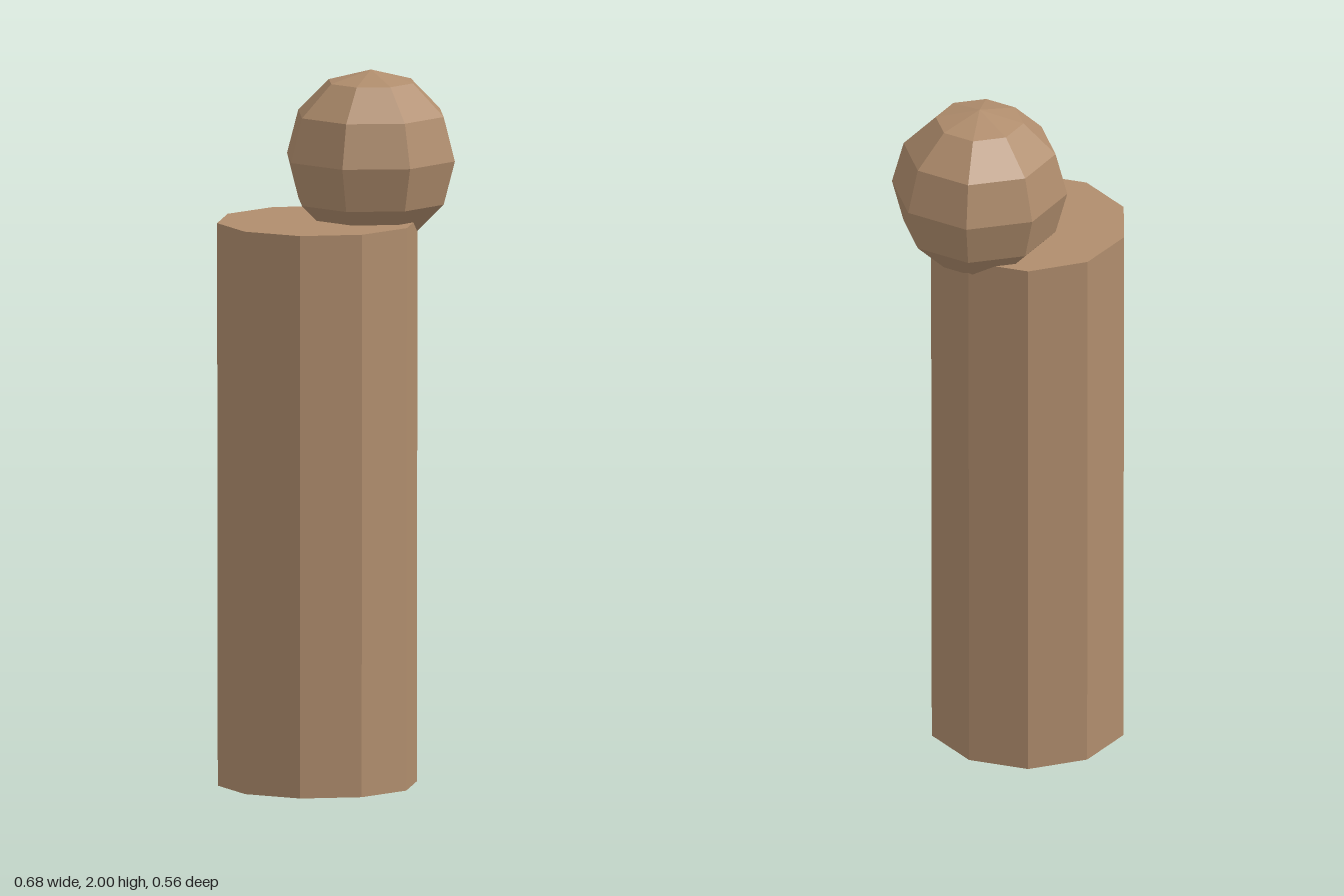
import * as THREE from 'three';

export function createModel() {
  const model = new THREE.Group();
  const wood = new THREE.MeshStandardMaterial({ color: 0xb08d6d, flatShading: true });
  wood.name = 'wood brown';

  // Ten-sided upright post
  const height = 1.585;
  const post = new THREE.Mesh(new THREE.CylinderGeometry(0.282, 0.28, height, 10), wood);
  post.name = 'post';
  post.position.set(-0.073, height / 2, 0);

  // Faceted ball resting partly sunk in the post, off to one side
  const radius = 0.247;
  const ball = new THREE.Mesh(new THREE.SphereGeometry(radius, 8, 6), wood);
  ball.name = 'ball';
  ball.position.set(0.095, 2 - radius, -0.003);

  model.add(post, ball);
  return model;
}
